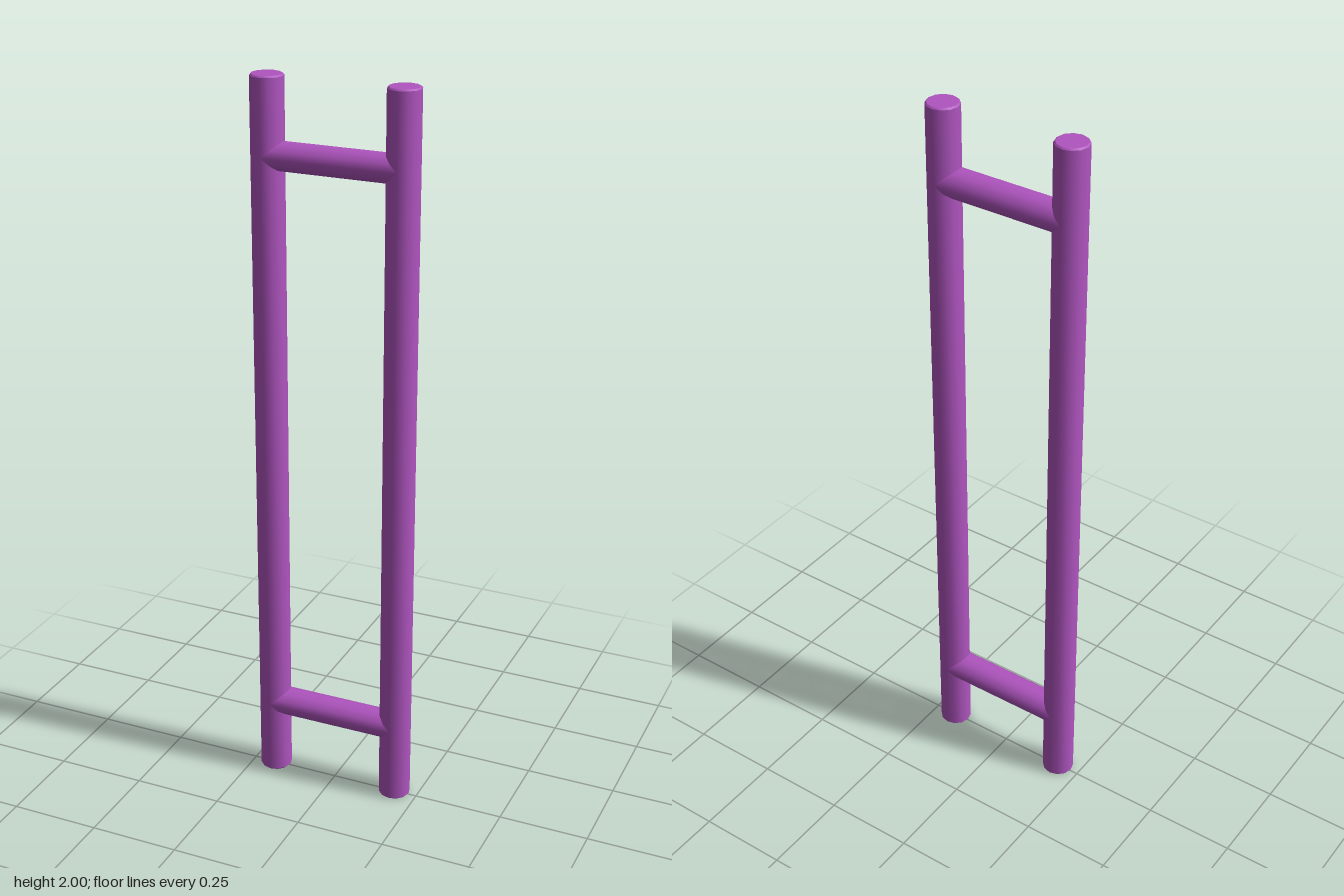
import * as THREE from 'three';
import { toCreasedNormals } from 'three/addons/utils/BufferGeometryUtils.js';

const SIDES = 12;
const RADIUS = 0.044;
const POST_X = 0.184;
const HEIGHT = 2;

export function createModel() {
  const group = new THREE.Group();
  group.name = 'ladderFrame';
  const material = new THREE.MeshStandardMaterial({ color: 0xb055c0 });

  // Round post with a tiny chamfer at both ends
  const c = 0.004;
  const profile = [
    [0, 0], [RADIUS - c, 0], [RADIUS, c],
    [RADIUS, HEIGHT - c], [RADIUS - c, HEIGHT], [0, HEIGHT],
  ].map(([x, y]) => new THREE.Vector2(x, y));
  const postGeometry = toCreasedNormals(new THREE.LatheGeometry(profile, SIDES), 0.6);

  // Crossbar: slightly flattened tube whose ends are buried in the posts
  const barGeometry = new THREE.CylinderGeometry(RADIUS, RADIUS, POST_X * 2, SIDES, 1, true);
  barGeometry.rotateZ(Math.PI / 2);
  barGeometry.scale(1, 0.87, 1);

  const add = (name, geometry, x, y) => {
    const mesh = new THREE.Mesh(geometry, material);
    mesh.name = name;
    mesh.position.set(x, y, 0);
    group.add(mesh);
  };

  add('leftPost', postGeometry, POST_X, 0);
  add('rightPost', postGeometry, -POST_X, 0);
  add('lowerCrossbar', barGeometry, 0, 0.215);
  add('upperCrossbar', barGeometry, 0, 1.795);

  return group;
}
